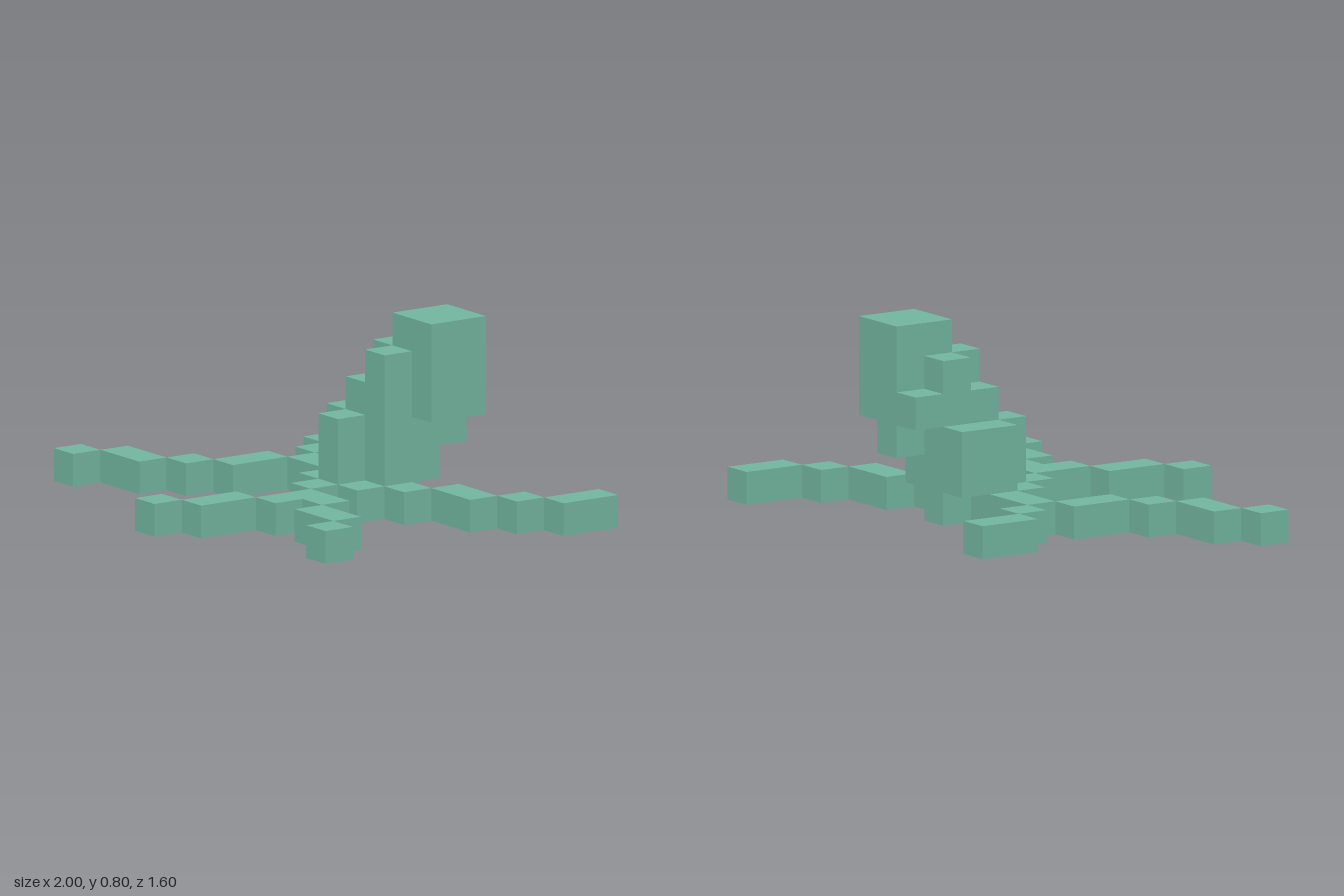
import * as THREE from 'three';

const CELL = 2 / 15; // the whole model sits on a 15 x 6 x 12 cell grid

export function createModel() {
  const model = new THREE.Group();
  model.name = 'blockTree';
  const material = new THREE.MeshStandardMaterial({ color: 0x72b59e, flatShading: true });

  // Block spanning cells [x0,x1) [y0,y1) [z0,z1)
  const block = (parent, name, x0, x1, y0, y1, z0, z1) => {
    const geometry = new THREE.BoxGeometry((x1 - x0) * CELL, (y1 - y0) * CELL, (z1 - z0) * CELL);
    const mesh = new THREE.Mesh(geometry, material);
    mesh.position.set(((x0 + x1) / 2 - 7.5) * CELL, ((y0 + y1) / 2) * CELL, ((z0 + z1) / 2 - 6) * CELL);
    mesh.name = name;
    parent.add(mesh);
  };

  // Roots: chains of one-cell-high blocks, each [x, z, length in x, length in z]
  const roots = {
    backLeftRoot: [[11, 3, 2, 1], [13, 2, 1, 1], [14, 0, 1, 2]],
    rightRoot: [[5, 4, 2, 1]],
    backRightRoot: [[4, 3, 1, 1], [3, 1, 1, 2]],
    frontRightRoot: [[4, 5, 1, 2], [3, 7, 1, 1], [1, 8, 2, 1], [0, 9, 1, 1]],
    frontRoot: [[8, 6, 1, 1], [9, 7, 2, 1], [9, 8, 1, 1], [8, 9, 1, 2], [7, 11, 1, 1]],
    frontLeftRoot: [[11, 8, 2, 1], [13, 9, 1, 1]],
  };
  for (const [name, pieces] of Object.entries(roots)) {
    const root = new THREE.Group();
    root.name = name;
    for (const [x, z, w, d] of pieces) block(root, 'rootSegment', x, x + w, 0, 1, z, z + d);
    model.add(root);
  }

  // Base of the trunk on the ground
  const base = new THREE.Group();
  base.name = 'trunkBase';
  block(base, 'baseBack', 8, 9, 0, 1, 3, 4);
  block(base, 'baseMiddle', 7, 11, 0, 1, 4, 5);
  block(base, 'baseFront', 7, 10, 0, 1, 5, 6);
  model.add(base);

  // Stepped trunk columns leaning towards the back left
  const trunk = new THREE.Group();
  trunk.name = 'trunk';
  block(trunk, 'rightButtress', 7, 8, 1, 3, 3, 5);
  block(trunk, 'frontButtress', 8, 9, 1, 3, 5, 6);
  block(trunk, 'middleColumn', 8, 9, 1, 4, 4, 5);
  block(trunk, 'leftColumn', 9, 10, 1, 5, 4, 5);
  block(trunk, 'backColumn', 8, 9, 1, 5, 3, 4);
  block(trunk, 'crownSupport', 9, 10, 1, 3, 3, 4);
  block(trunk, 'crownBracket', 9, 10, 2, 3, 2, 3);
  block(trunk, 'backKnob', 8, 9, 3, 4, 2, 3);
  model.add(trunk);

  // Large block at the top
  block(model, 'crown', 9, 11, 3, 6, 2, 4);
  return model;
}
